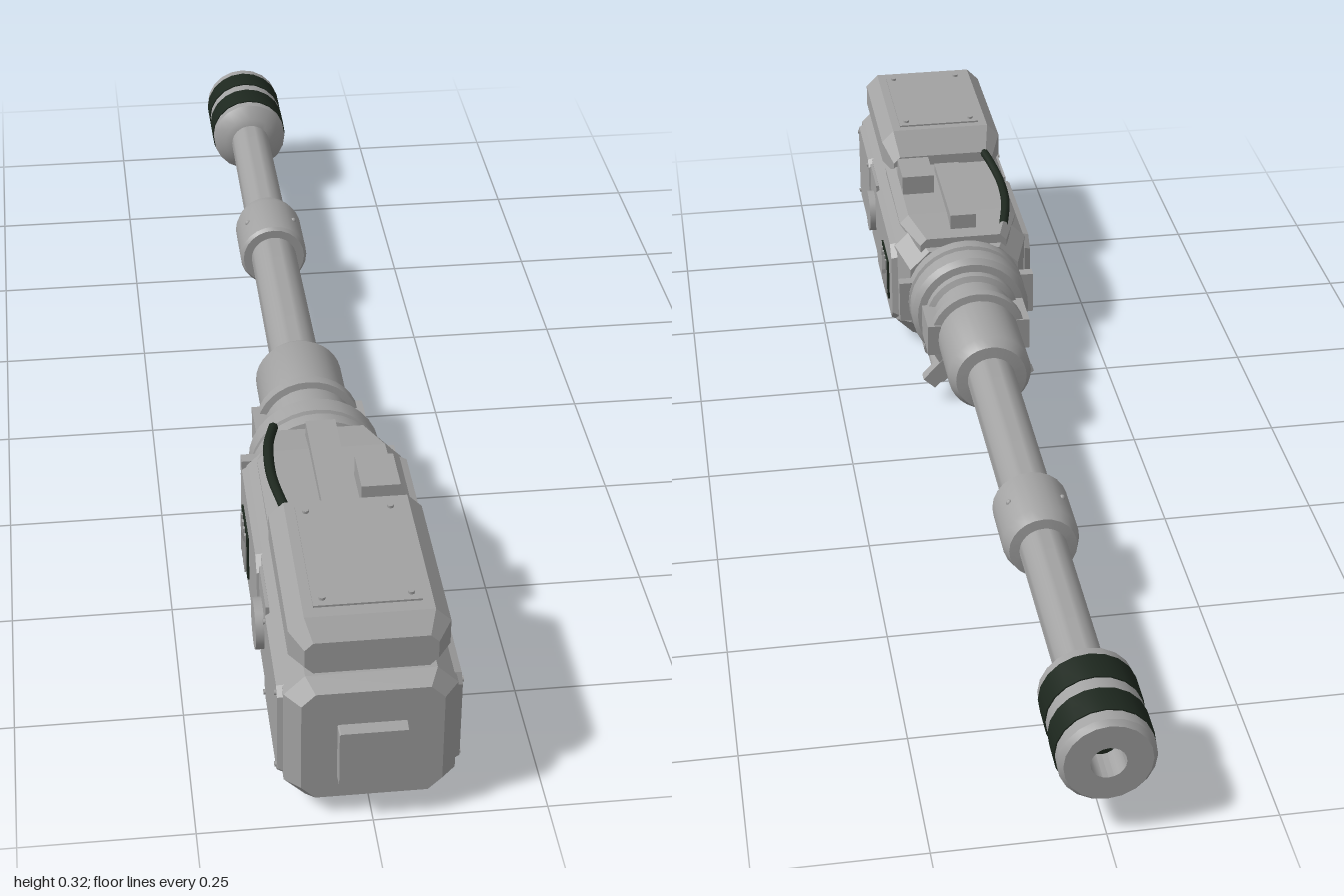
import * as THREE from 'three';
import { toCreasedNormals } from 'three/addons/utils/BufferGeometryUtils.js';

const AXIS_Y = 0.129; // height of the barrel axis

export function createModel() {
  const model = new THREE.Group();
  model.name = 'cannon';
  const grey = new THREE.MeshStandardMaterial({ color: 0xa2a2a2 });
  grey.name = 'metal grey';
  const dark = new THREE.MeshStandardMaterial({ color: 0x1d271e });
  dark.name = 'dark green';

  const add = (name, geo, mat = grey, x = 0, y = 0, z = 0) => {
    const mesh = new THREE.Mesh(geo, mat);
    mesh.name = name;
    mesh.position.set(x, y, z);
    model.add(mesh);
    return mesh;
  };
  const box = (name, x0, x1, y0, y1, z0, z1, mat = grey) =>
    add(name, new THREE.BoxGeometry(x1 - x0, y1 - y0, z1 - z0), mat,
      (x0 + x1) / 2, (y0 + y1) / 2, (z0 + z1) / 2);

  // Chamfered solid through octagonal sections [z, half width, bottom, top, chamfer], front to back
  const loft = (sections) => {
    const rings = sections.map(([z, w, b, t, c]) => [
      [w, b + c, z], [w, t - c, z], [w - c, t, z], [c - w, t, z],
      [-w, t - c, z], [-w, b + c, z], [c - w, b, z], [w - c, b, z]]);
    const pos = [];
    const tri = (...p) => p.forEach((v) => pos.push(...v));
    for (let s = 0; s < rings.length - 1; s++) {
      for (let i = 0; i < 8; i++) {
        const j = (i + 1) % 8, a = rings[s], b = rings[s + 1];
        tri(a[i], b[i], b[j]);
        tri(a[i], b[j], a[j]);
      }
    }
    const f = rings[0], e = rings[rings.length - 1];
    for (let i = 1; i < 7; i++) {
      tri(f[0], f[i], f[i + 1]);
      tri(e[0], e[i + 1], e[i]);
    }
    const geo = new THREE.BufferGeometry();
    geo.setAttribute('position', new THREE.Float32BufferAttribute(pos, 3));
    geo.computeVertexNormals();
    return geo;
  };

  // Turned part around the barrel axis, points [radius, z] from front to back
  const turned = (name, points, mat = grey, sides = 32) => {
    const geo = new THREE.LatheGeometry(points.map(([r, z]) => new THREE.Vector2(r, -z)), sides);
    geo.rotateX(-Math.PI / 2);
    return add(name, toCreasedNormals(geo, 0.6), mat, 0, AXIS_Y, 0);
  };

  // Main housing
  add('housing', loft([
    [0.98, 0.1, 0.032, 0.22, 0.02], [0.955, 0.122, 0.018, 0.234, 0.03],
    [0.41, 0.122, 0.018, 0.234, 0.03], [0.355, 0.1, 0.035, 0.215, 0.035]]));
  add('frontBlock', loft([
    [1, 0.049, 0.068, 0.163, 0.002], [0.97, 0.05, 0.067, 0.164, 0.002]]));
  add('bottomPlate', loft([
    [0.85, 0.095, 0, 0.022, 0.003], [0.47, 0.095, 0, 0.022, 0.003]]));

  // Raised cover with bolted lid
  add('topCover', loft([
    [0.955, 0.093, 0.238, 0.29, 0.012], [0.93, 0.113, 0.232, 0.316, 0.022],
    [0.665, 0.113, 0.232, 0.316, 0.022], [0.632, 0.095, 0.232, 0.275, 0.012]]));
  box('lid', -0.076, 0.076, 0.312, 0.319, 0.68, 0.91);
  for (const x of [-0.062, 0.062]) {
    for (const z of [0.695, 0.895]) {
      add('lidBolt', new THREE.CylinderGeometry(0.005, 0.005, 0.006, 8), grey, x, 0.32, z);
    }
  }

  // Sloping rear deck with its fittings
  add('rearDeck', loft([
    [0.66, 0.108, 0.215, 0.256, 0.016], [0.44, 0.108, 0.215, 0.25, 0.016],
    [0.365, 0.08, 0.2, 0.236, 0.012]]));
  box('deckRib', -0.027, 0.02, 0.24, 0.268, 0.39, 0.61);
  box('deckBox', 0.033, 0.092, 0.24, 0.288, 0.52, 0.6);
  const cable = new THREE.CatmullRomCurve3([
    [-0.078, 0.272, 0.65], [-0.086, 0.27, 0.6], [-0.094, 0.264, 0.52],
    [-0.09, 0.261, 0.44], [-0.076, 0.25, 0.375]].map((p) => new THREE.Vector3(...p)));
  add('cable', new THREE.TubeGeometry(cable, 24, 0.008, 8), dark);

  // Side panels, hatch discs and vents
  for (const s of [-1, 1]) {
    const panel = (name, z0, z1, y0, y1, depth, c) => {
      const w = (z1 - z0) / 2;
      const geo = loft([[0.008, w - 0.004, y0 + 0.004, y1 - 0.004, c], [-depth, w, y0, y1, c]]);
      geo.rotateY(s * Math.PI / 2);
      add(name, geo, grey, s * 0.122, 0, (z0 + z1) / 2);
    };
    panel('frontPanel', 0.765, 0.95, 0.045, 0.207, 0.003, 0.012);
    panel('rearPanel', 0.395, 0.66, 0.045, 0.207, 0.003, 0.02);
    box('middlePanel', s * 0.124 - 0.003, s * 0.124 + 0.003, 0.05, 0.202, 0.664, 0.761);
    const disc = new THREE.CylinderGeometry(0.039, 0.039, 0.02, 24);
    disc.rotateZ(Math.PI / 2);
    add('hatchDisc', disc, grey, s * 0.13, AXIS_Y, 0.705);
    box('ventBack', s * 0.131 - 0.002, s * 0.131 + 0.002, 0.075, 0.153, 0.442, 0.532, dark);
    for (let i = 0; i < 4; i++) {
      const z = 0.46 + i * 0.018;
      box('ventSlat', s * 0.133 - 0.003, s * 0.133 + 0.003, 0.079, 0.149, z - 0.0035, z + 0.0035);
    }
    for (const y of [0.06, 0.192]) {
      for (const z of [0.78, 0.935]) {
        const bolt = new THREE.CylinderGeometry(0.004, 0.004, 0.006, 8);
        bolt.rotateZ(Math.PI / 2);
        add('panelBolt', bolt, grey, s * 0.13, y, z);
      }
    }

    // Recoil rods below the collar, with their end brackets
    const rod = new THREE.CylinderGeometry(0.013, 0.013, 0.17, 12);
    rod.rotateX(Math.PI / 2);
    add('recoilRod', rod, grey, s * 0.068, 0.052, 0.27);
    const cap = new THREE.CylinderGeometry(0.018, 0.018, 0.025, 12);
    cap.rotateX(Math.PI / 2);
    add('rodCap', cap, grey, s * 0.068, 0.052, 0.3);
    const bracket = box('rodBracket', -0.014, 0.014, -0.036, 0.036, -0.01, 0.01);
    bracket.position.set(s * 0.066, 0.066, 0.192);
    bracket.rotation.z = s * 0.75;
    box('collarEar', s * 0.108 - 0.016, s * 0.108 + 0.016, 0.09, 0.168, 0.328, 0.348);
    box('ringEar', s * 0.08 - 0.012, s * 0.08 + 0.012, 0.1, 0.158, 0.18, 0.26);
  }

  // Stepped mount collars
  turned('mountCollar', [
    [0, 0.38], [0.095, 0.38], [0.095, 0.352], [0.108, 0.348], [0.108, 0.326], [0.1, 0.322],
    [0.1, 0.318], [0.107, 0.314], [0.107, 0.282], [0.098, 0.272], [0.085, 0.27],
    [0.085, 0.255], [0.075, 0.25], [0.075, 0.204], [0.086, 0.202], [0.086, 0.184],
    [0.073, 0.182], [0.073, 0.055], [0.062, 0.036], [0.041, 0.034]]);

  // Barrel with its middle sleeve
  turned('barrelRear', [[0.042, 0.05], [0.041, -0.37]]);
  turned('barrelSleeve', [
    [0.04, -0.352], [0.056, -0.352], [0.061, -0.358], [0.061, -0.46],
    [0.054, -0.482], [0.036, -0.484]], grey, 24);
  turned('barrelFront', [[0.038, -0.47], [0.037, -0.84]]);
  for (let i = 0; i < 4; i++) {
    const a = Math.PI / 4 + i * Math.PI / 2;
    const bolt = new THREE.SphereGeometry(0.005, 8, 6);
    add('sleeveBolt', bolt, grey, Math.cos(a) * 0.06, AXIS_Y + Math.sin(a) * 0.06, -0.41);
  }

  // Muzzle brake with a recessed bore and two dark bands
  turned('muzzleBrake', [
    [0.036, -0.808], [0.05, -0.812], [0.071, -0.832], [0.071, -0.992], [0.064, -1],
    [0.026, -1], [0.026, -0.95]], grey, 20);
  turned('bore', [[0.0255, -0.95], [0, -0.95]], dark, 20);
  for (const [z0, z1] of [[-0.848, -0.9], [-0.925, -0.973]]) {
    turned('muzzleBand', [[0.07, z0], [0.073, z0], [0.073, z1], [0.07, z1]], dark, 20);
  }
  return model;
}
